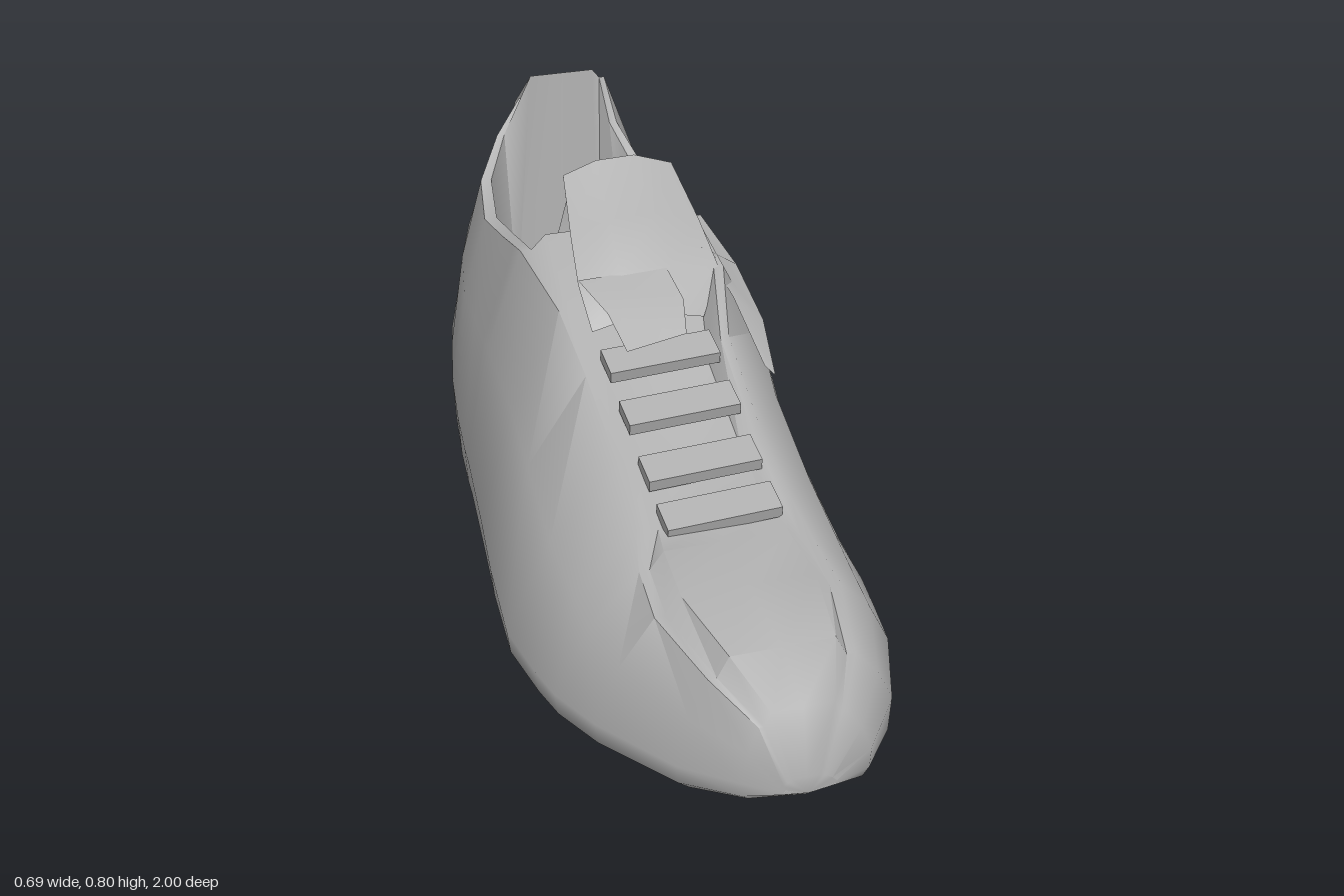
import * as THREE from 'three';
import { toCreasedNormals } from 'three/addons/utils/BufferGeometryUtils.js';

const grey = new THREE.MeshStandardMaterial({ color: 0xb0b0b0, side: THREE.DoubleSide });
grey.name = 'grey';

// Skins rows of points; closed rows become rings, capped at both ends.
function loft(rows, closed) {
  const n = rows[0].length, pos = rows.flat(2), idx = [];
  for (let i = 0; i < rows.length - 1; i++) {
    for (let j = 0; j < (closed ? n : n - 1); j++) {
      const k = (j + 1) % n, a = i * n + j, b = i * n + k;
      idx.push(a, b, b + n, a, b + n, a + n);
    }
  }
  if (closed) {
    const last = (rows.length - 1) * n;
    for (let j = 1; j < n - 1; j++) {
      idx.push(0, j + 1, j);
      idx.push(last, last + j, last + j + 1);
    }
  }
  const g = new THREE.BufferGeometry();
  g.setAttribute('position', new THREE.Float32BufferAttribute(pos, 3));
  g.setIndex(idx);
  return toCreasedNormals(g, 0.95);
}

// Sections: z, side x (right, left), sole y, widest y (right, left),
// rim x, y (right), rim x, y (left), y of the middle (footbed or top)
const heel = [
  [-1.0, 0.02, 0.2, 0.06, 0.2, 0.2, 0.04, 0.33, 0.17, 0.33, 0.35],
  [-0.94, -0.08, 0.26, 0.05, 0.2, 0.25, -0.01, 0.54, 0.21, 0.54, 0.59],
  [-0.87, -0.14, 0.3, 0.035, 0.2, 0.3, -0.03, 0.62, 0.23, 0.62, 0.7],
  [-0.81, -0.17, 0.315, 0.025, 0.2, 0.35, 0.0, 0.73, 0.2, 0.76, 0.78],
  [-0.78, -0.18, 0.32, 0.02, 0.2, 0.36, -0.06, 0.66, 0.22, 0.66, 0.25],
  [-0.7, -0.2, 0.33, 0.01, 0.2, 0.39, -0.12, 0.59, 0.28, 0.54, 0.2],
  [-0.55, -0.235, 0.34, 0.005, 0.18, 0.4, -0.15, 0.565, 0.3, 0.53, 0.2],
  [-0.4, -0.26, 0.34, 0.005, 0.17, 0.4, -0.15, 0.59, 0.29, 0.57, 0.2],
  [-0.28, -0.275, 0.335, 0.01, 0.16, 0.37, -0.155, 0.62, 0.25, 0.62, 0.22],
];
const forefoot = [
  [-0.23, -0.28, 0.335, 0.01, 0.16, 0.35, -0.155, 0.63, 0.225, 0.65, 0.66],
  [0.0, -0.31, 0.335, 0.012, 0.15, 0.3, -0.14, 0.6, 0.2, 0.65, 0.6],
  [0.15, -0.33, 0.33, 0.018, 0.13, 0.25, -0.13, 0.53, 0.16, 0.57, 0.52],
  [0.35, -0.35, 0.325, 0.03, 0.115, 0.2, -0.13, 0.45, 0.155, 0.47, 0.44],
  [0.5, -0.335, 0.312, 0.038, 0.12, 0.2, -0.14, 0.39, 0.16, 0.405, 0.385],
  [0.58, -0.32, 0.3, 0.042, 0.12, 0.2, -0.16, 0.355, 0.17, 0.37, 0.39],
  [0.7, -0.28, 0.28, 0.055, 0.13, 0.2, -0.17, 0.335, 0.18, 0.34, 0.37],
  [0.87, -0.185, 0.215, 0.075, 0.14, 0.2, -0.13, 0.31, 0.14, 0.31, 0.35],
  [0.96, -0.1, 0.14, 0.1, 0.15, 0.17, -0.07, 0.26, 0.09, 0.26, 0.285],
  [1.0, -0.04, 0.06, 0.135, 0.15, 0.15, -0.03, 0.165, 0.04, 0.165, 0.17],
];

// Turns one section into a ring: sole, side, rim, inside, and back down.
function ring([z, xr, xl, sole, yr, yl, rx, ry, lx, ly, mid]) {
  const c = (xr + xl) / 2, m = (rx + lx) / 2;
  const arch = Math.max(0, 1 - Math.abs(z + 0.12) / 0.35);
  const half = (x, y, rimX, rimY, tuck) => [
    [c + (x - c) * (0.88 - 0.2 * tuck), sole + 0.015 + 0.03 * tuck, z],
    [x + (c - x) * 0.02, sole + (y - sole) * 0.45, z],
    [x, y, z],
    [x + (rimX - x) * 0.4, y + (rimY - y) * 0.55, z],
    [rimX, rimY, z],
    [m + (rimX - m) * 0.88, rimY, z],
    [m + (rimX - m) * 0.72, mid, z],
  ];
  return [[c, sole, z], ...half(xl, yl, lx, ly, arch), [m, mid, z],
    ...half(xr, yr, rx, ry, 0).reverse()];
}

// Tongue rows from the throat, up over the top edge and down inside
const tongueRows = [
  [0.06, -0.09, 0.14, 0.575, 0.02],
  [0.0, -0.1, 0.19, 0.65, 0.02],
  [-0.12, -0.08, 0.19, 0.7, 0.03],
  [-0.24, -0.06, 0.17, 0.78, 0.03],
  [-0.29, -0.04, 0.18, 0.7, 0.0],
  [-0.27, -0.08, 0.2, 0.58, 0.0],
].map(([z, a, b, y, bow]) => [0, 0.3, 0.65, 1].map((t) =>
  [a + (b - a) * t, y + bow * Math.sin(t * Math.PI), z]));

// Laces: z, y, half width
const laces = [[0.5, 0.405, 0.11], [0.39, 0.445, 0.11], [0.27, 0.5, 0.11], [0.15, 0.55, 0.11]];

export function createModel() {
  const shoe = new THREE.Group();
  shoe.name = 'shoe';
  const add = (geometry, name) => {
    const mesh = new THREE.Mesh(geometry, grey);
    mesh.name = name;
    shoe.add(mesh);
    return mesh;
  };

  add(loft([...heel, ...forefoot].map(ring), true), 'upperAndSole');
  add(loft(tongueRows, false), 'tongue');

  // Lace bars across the throat, each leaning with the instep
  for (const [z, y, w] of laces) {
    const lace = add(new THREE.BoxGeometry(w * 2, 0.025, 0.07), 'lace');
    lace.position.set(0.02, y, z);
    lace.rotation.set(0.25, 0, 0.06);
  }

  // Loose lace loops lying over the throat and the left side
  add(loft([
    [[-0.1, 0.66, 0.0], [0.08, 0.665, 0.0]],
    [[-0.07, 0.63, 0.1], [0.09, 0.63, 0.08]],
    [[-0.05, 0.575, 0.16], [0.08, 0.58, 0.13]],
  ], false), 'laceKnot');
  add(loft([
    [[0.15, 0.67, -0.2], [0.235, 0.655, -0.24]],
    [[0.17, 0.675, -0.05], [0.25, 0.62, -0.06]],
    [[0.2, 0.61, 0.06], [0.265, 0.55, 0.06]],
    [[0.24, 0.49, 0.14], [0.26, 0.47, 0.15]],
  ], false), 'laceLoop');
  return shoe;
}
